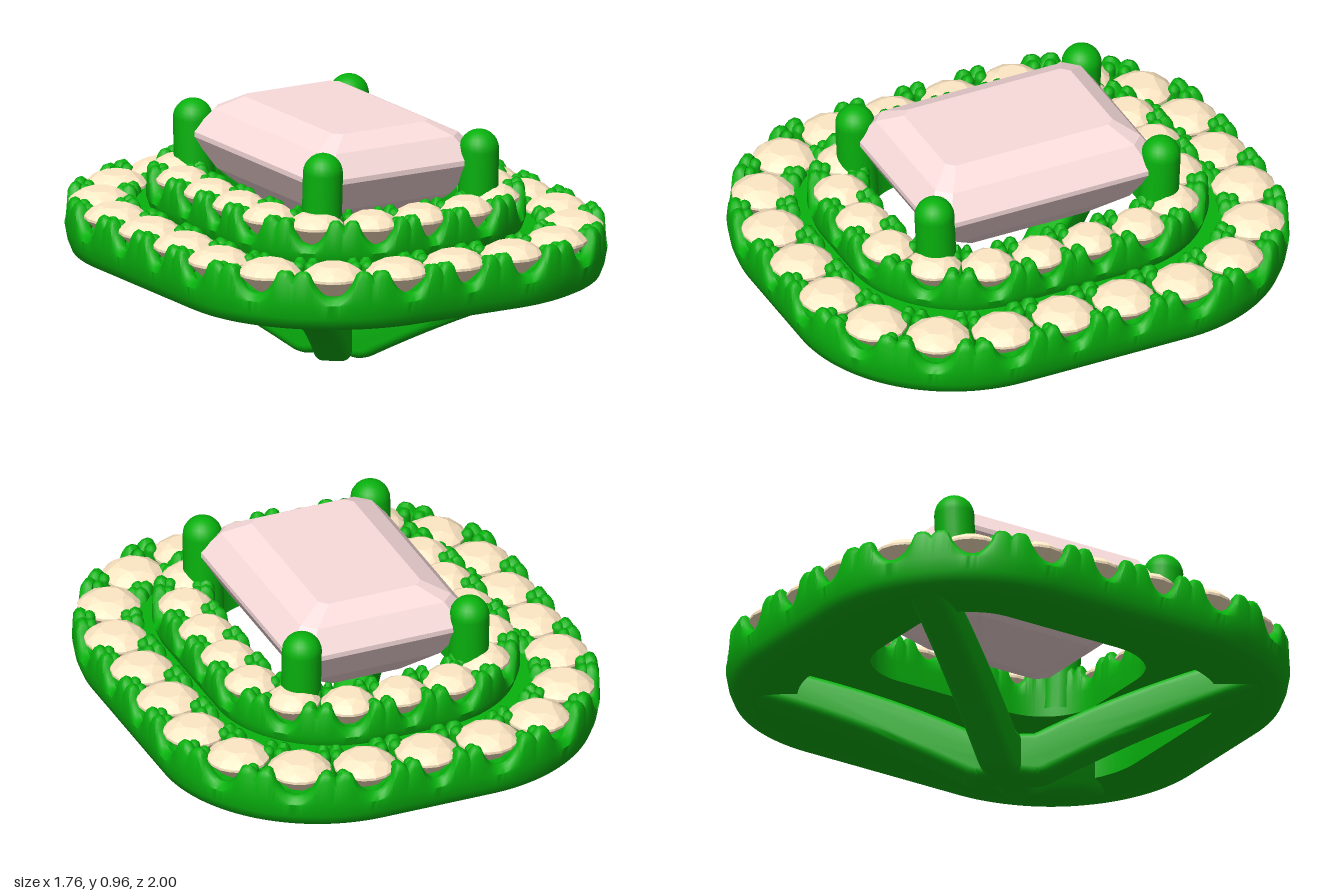
import * as THREE from 'three';
import { mergeGeometries, toCreasedNormals } from 'three/addons/utils/BufferGeometryUtils.js';
import { ConvexGeometry } from 'three/addons/geometries/ConvexGeometry.js';

const metal = new THREE.MeshStandardMaterial({ color: 0x08b20e });
const pinkGem = new THREE.MeshStandardMaterial({ color: 0xfadcdc, flatShading: true });
const creamGem = new THREE.MeshStandardMaterial({ color: 0xffe8c4, flatShading: true });

function part(name, geometry, material) {
  const mesh = new THREE.Mesh(geometry, material);
  mesh.name = name;
  return mesh;
}

// Rounded-rectangle path by arc length, starting at the front middle
function roundedPath(hx, hz, r) {
  const a = hx - r, b = hz - r, arc = r * Math.PI / 2, length = 4 * (a + arc + b);
  const at = (s) => {
    s = ((s % length) + length) % length;
    let fx = 1, fz = 1;
    if (s > length / 2) { s = length - s; fx = -1; }
    if (s > length / 4) { s = length / 2 - s; fz = -1; }
    const t = THREE.MathUtils.clamp((s - a) / r, 0, Math.PI / 2);
    const nx = Math.sin(t), nz = Math.cos(t);
    const x = Math.min(s, a) + r * nx;
    const z = b - Math.max(0, s - a - arc) + r * nz;
    return { x: x * fx, z: z * fz, nx: nx * fx, nz: nz * fz };
  };
  return { length, at };
}

// Ring wall swept along the path, scalloped at every stone
function bandGeometry(path, count, w, y0, top) {
  const per = 24, n = count * per, step = path.length / count;
  const pos = [], index = [];
  let m = 0;
  for (let i = 0; i < n; i++) {
    const p = path.at(i * path.length / n);
    const off = Math.abs(((i + per / 2) % per) - per / 2) / per * step;
    const u = Math.min(1, off / (step * 0.3));
    const slit = Math.max(0, 1 - (step / 2 - off) / 0.016);
    const rim = top - 0.004 - 0.1 * (1 - u * u) ** 0.8 - 0.022 * slit;
    const innerRim = top - 0.004 - 0.065 * (1 - u * u) ** 0.8 - 0.022 * slit;
    const floor = top - 0.11 + 0.055 * THREE.MathUtils.smoothstep(off, step * 0.36, step * 0.5);
    const profile = [
      [-w, y0], [w - 0.05, y0], [w - 0.025, y0 + 0.012], [w - 0.01, y0 + 0.05], [w, top - 0.13],
      [w - 0.004, rim - 0.026], [w - 0.015, rim - 0.007], [w - 0.033, rim], [w - 0.05, rim - 0.01],
      [w - 0.06, Math.min(floor, rim - 0.012)], [0.06 - w, Math.min(floor, innerRim - 0.012)],
      [0.05 - w, innerRim - 0.01], [0.033 - w, innerRim], [0.015 - w, innerRim - 0.007],
      [0.004 - w, innerRim - 0.026], [-w, top - 0.13],
    ];
    m = profile.length;
    for (const [d, y] of profile) pos.push(p.x + p.nx * d, y, p.z + p.nz * d);
  }
  for (let i = 0; i < n; i++) for (let j = 0; j < m; j++) {
    const i2 = (i + 1) % n, j2 = (j + 1) % m;
    const a = i * m + j, b = i2 * m + j, c = i2 * m + j2, d = i * m + j2;
    index.push(a, b, c, a, c, d);
  }
  const g = new THREE.BufferGeometry();
  g.setAttribute('position', new THREE.Float32BufferAttribute(pos, 3));
  g.setIndex(index);
  return toCreasedNormals(g, 0.8);
}

// Round faceted stone, girdle at y = 0
function roundStone(r) {
  const pts = [];
  const ring = (k, rad, y, turn) => {
    for (let i = 0; i < k; i++) {
      const t = (i + turn) / k * Math.PI * 2;
      pts.push(new THREE.Vector3(Math.sin(t) * rad * r, y, Math.cos(t) * rad * r));
    }
  };
  ring(8, 0.5, 0.044, 0.5);
  ring(8, 0.8, 0.027, 0);
  ring(16, 1, 0.004, 0);
  ring(16, 1, -0.006, 0);
  ring(8, 0.55, -0.06, 0.5);
  ring(1, 0, -0.105, 0);
  return new ConvexGeometry(pts);
}

// One halo: scalloped band, round stones and small beads between them
function halo(name, hx, hz, r, count, w, y0, top, stoneR) {
  const group = new THREE.Group();
  group.name = name;
  const path = roundedPath(hx, hz, r), step = path.length / count;
  group.add(part(name + 'Band', bandGeometry(path, count, w, y0, top), metal));
  const stone = roundStone(stoneR), beads = [];
  for (let i = 0; i < count; i++) {
    const p = path.at(i * step);
    const mesh = part(name + 'Stone', stone, creamGem);
    mesh.position.set(p.x, top - 0.044, p.z);
    mesh.rotation.y = Math.atan2(p.nx, p.nz);
    group.add(mesh);
    for (const side of [-1, 1]) for (const across of [-1, 1]) {
      const q = path.at((i + 0.5) * step + side * 0.027), d = across * (w - 0.064);
      const bead = new THREE.CapsuleGeometry(0.025, 0.05, 3, 10);
      beads.push(bead.translate(q.x + q.nx * d, top - 0.062, q.z + q.nz * d));
    }
  }
  group.add(part(name + 'Beads', mergeGeometries(beads), metal));
  return group;
}

// Flat plate joining the two halos, open in the middle
function galleryPlate() {
  const outline = (hx, hz, r) => {
    const path = roundedPath(hx, hz, r);
    return Array.from({ length: 96 }, (_, i) => {
      const p = path.at(i / 96 * path.length);
      return new THREE.Vector2(p.x, p.z);
    });
  };
  const shape = new THREE.Shape(outline(0.66, 0.78, 0.45));
  shape.holes.push(new THREE.Path(outline(0.373, 0.493, 0.243)));
  const g = new THREE.ExtrudeGeometry(shape, { depth: 0.06, bevelEnabled: false });
  return toCreasedNormals(g.rotateX(Math.PI / 2).translate(0, 0.55, 0), 0.7);
}

// Step-cut centre stone from cut-corner rectangles [half x, half z, y, corner cut]
function centreStone() {
  const levels = [
    [0.21, 0.35, 0.965, 0.03], [0.31, 0.43, 0.915, 0.05], [0.38, 0.49, 0.83, 0.07],
    [0.38, 0.49, 0.81, 0.07], [0.31, 0.42, 0.69, 0.06], [0.18, 0.28, 0.57, 0.04], [0.02, 0.12, 0.48, 0.01],
  ];
  const pts = [];
  for (const [x, z, y, c] of levels)
    for (const fx of [-1, 1]) for (const fz of [-1, 1])
      pts.push(new THREE.Vector3(fx * (x - c), y, fz * z), new THREE.Vector3(fx * x, y, fz * (z - c)));
  return new ConvexGeometry(pts);
}

// Diagonal basket bar, drawn from the side and running corner to corner
function basketBar() {
  const s = new THREE.Shape();
  s.moveTo(-0.11, 0.155);
  s.lineTo(0.11, 0.155);
  s.quadraticCurveTo(0.45, 0.33, 0.83, 0.44);
  s.lineTo(0.99, 0.41);
  s.quadraticCurveTo(0.6, 0.295, 0.145, 0.05);
  s.quadraticCurveTo(0.125, 0.04, 0.1, 0.04);
  s.quadraticCurveTo(0, 0.06, -0.1, 0.04);
  s.quadraticCurveTo(-0.125, 0.04, -0.145, 0.05);
  s.quadraticCurveTo(-0.6, 0.295, -0.99, 0.41);
  s.lineTo(-0.83, 0.44);
  s.quadraticCurveTo(-0.45, 0.33, -0.11, 0.155);
  const g = new THREE.ExtrudeGeometry(s, {
    depth: 0.07, bevelEnabled: true, bevelSize: 0.035, bevelThickness: 0.035, bevelSegments: 5, curveSegments: 12,
  });
  return toCreasedNormals(g.translate(0, 0, -0.035), 0.7);
}

export function createModel() {
  const model = new THREE.Group();
  model.name = 'haloJewel';
  model.add(halo('outerHalo', 0.745, 0.865, 0.52, 22, 0.135, 0.365, 0.6, 0.12));
  model.add(halo('innerHalo', 0.49, 0.61, 0.36, 18, 0.118, 0.51, 0.72, 0.103));
  model.add(part('galleryPlate', galleryPlate(), metal));
  model.add(part('centreStone', centreStone(), pinkGem));

  // Claws at the four corners of the centre stone
  for (const fx of [-1, 1]) for (const fz of [-1, 1]) {
    const claw = new THREE.Group();
    claw.name = 'claw';
    const tip = new THREE.Vector3(fx * 0.345, 0.865, fz * 0.475);
    const foot = new THREE.Vector3(fx * 0.345, 0.54, fz * 0.46);
    const shaft = new THREE.TubeGeometry(new THREE.LineCurve3(foot, tip), 1, 0.076, 20);
    const ball = part('clawTip', new THREE.SphereGeometry(0.076, 20, 14), metal);
    ball.position.copy(tip);
    claw.add(part('clawShaft', shaft, metal), ball);
    model.add(claw);
  }

  // Two crossed bars form the basket beneath
  const bar = basketBar();
  for (const f of [-1, 1]) {
    const mesh = part('basketBar', bar, metal);
    mesh.rotation.y = f * Math.atan2(0.8, 0.6);
    model.add(mesh);
  }
  return model;
}
